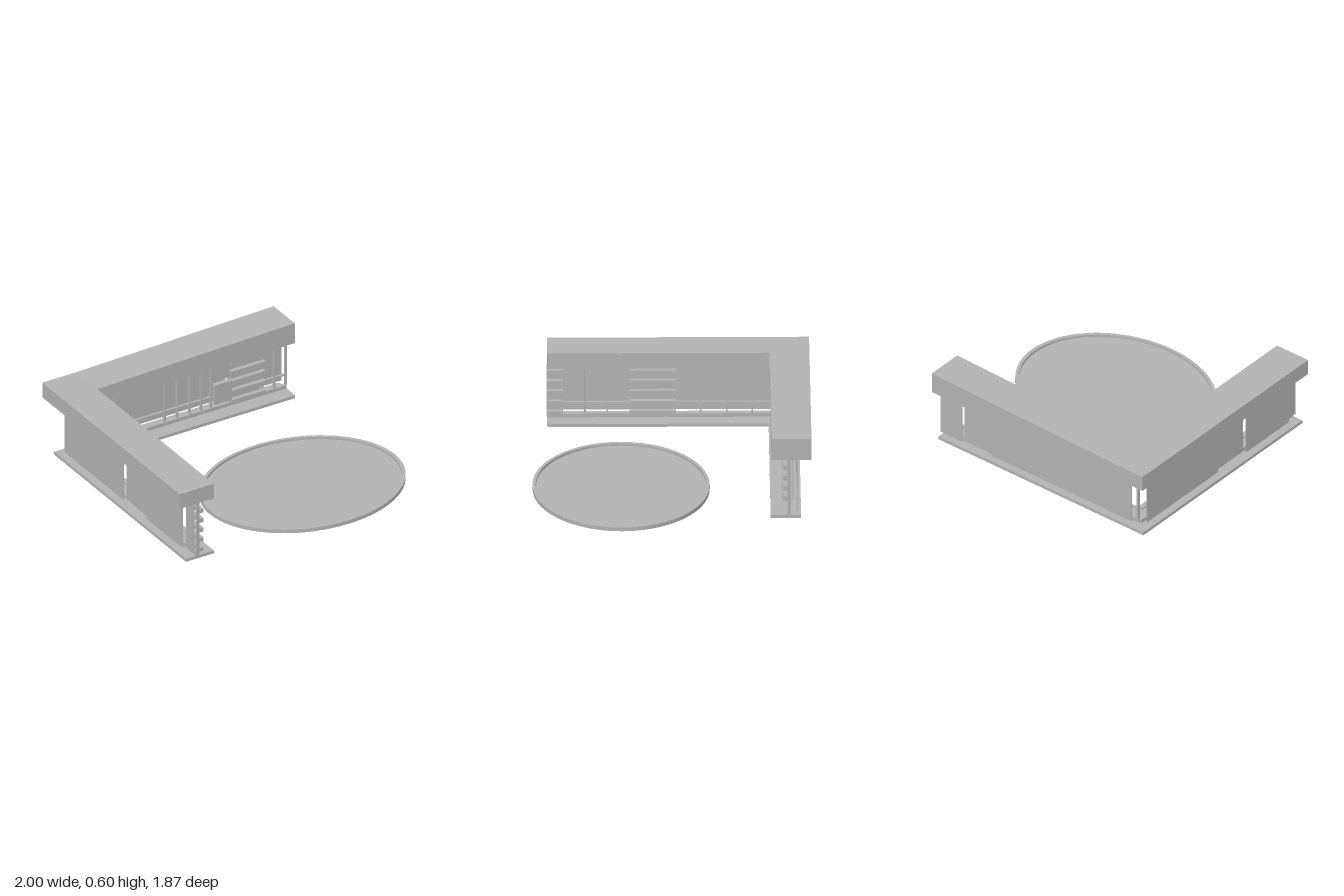
import * as THREE from 'three';
import { toCreasedNormals } from 'three/addons/utils/BufferGeometryUtils.js';

export function createModel() {
  const model = new THREE.Group();
  const grey = new THREE.MeshStandardMaterial({ color: 0xb2b2b2 });
  grey.name = 'plain grey';

  function add(parent, name, geometry) {
    const mesh = new THREE.Mesh(geometry, grey);
    mesh.name = name;
    parent.add(mesh);
    return mesh;
  }
  function group(name) {
    const g = new THREE.Group();
    g.name = name;
    model.add(g);
    return g;
  }
  // flat outline of [x, z] corners raised from y0 to y1
  function slab(points, y0, y1) {
    const shape = new THREE.Shape(points.map(([x, z]) => new THREE.Vector2(x, -z)));
    const g = new THREE.ExtrudeGeometry(shape, { depth: y1 - y0, bevelEnabled: false });
    return g.rotateX(-Math.PI / 2).translate(0, y0, 0);
  }

  // L-shaped floor
  add(model, 'floorSlab', slab([
    [-0.95, -0.87], [0.83, -0.87], [0.83, -0.665],
    [-0.73, -0.665], [-0.73, 0.825], [-0.95, 0.825]], 0.02, 0.042));

  // Roof: level side wing, gently rising back wing
  const roof = group('roof');
  add(roof, 'sideRoof', slab([[-1, -0.94], [-0.73, -0.94], [-0.73, 0.825], [-1, 0.825]], 0.446, 0.56));
  const rise = new THREE.Shape([[-0.73, 0.446], [0.83, 0.446], [0.83, 0.6], [-0.73, 0.56]]
    .map(([x, y]) => new THREE.Vector2(x, y)));
  add(roof, 'backRoof', new THREE.ExtrudeGeometry(rise, { depth: 0.27, bevelEnabled: false }).translate(0, 0, -0.94));

  // Wings: u runs along the wall, d is the position across it
  function makeWing(name, alongX) {
    const g = group(name);
    const box = (part, u0, u1, y0, y1, d0, d1) => {
      const [x0, x1, z0, z1] = alongX ? [u0, u1, d0, d1] : [d0, d1, u0, u1];
      add(g, part, new THREE.BoxGeometry(x1 - x0, y1 - y0, z1 - z0))
        .position.set((x0 + x1) / 2, (y0 + y1) / 2, (z0 + z1) / 2);
    };
    return box;
  }

  const wings = [
    {
      name: 'backWing', alongX: true, d: -0.8, start: -0.85, end: 0.83,
      posts: [-0.84, -0.677, -0.513, -0.128, -0.027, 0.072, 0.16, 0.238, 0.385, 0.643, 0.738, 0.83],
      rails: [[-0.84, 0.24], [0.643, 0.83]],
      shelves: [[0.378, 0.648]],
      panels: [[-0.83, 0.385], [0.643, 0.83]],
    },
    {
      name: 'sideWing', alongX: false, d: -0.87, start: -0.79, end: 0.825,
      posts: [-0.69, -0.555, -0.384, -0.21, -0.038, 0.265, 0.42, 0.57, 0.724, 0.825],
      rails: [[-0.78, -0.038], [0.265, 0.724]],
      shelves: [[-0.043, 0.27], [0.72, 0.83]],
      panels: [[-0.79, -0.035], [0.265, 0.724]],
    },
  ];
  for (const w of wings) {
    const box = makeWing(w.name, w.alongX);
    const d = w.d;
    box('sill', w.start, w.end, 0.042, 0.068, d, d + 0.025);
    box('headBeam', w.start, w.end, 0.428, 0.446, d, d + 0.025);
    for (const p of w.posts) box('windowPost', p - 0.005, p + 0.005, 0.068, 0.428, d, d + 0.022);
    for (const [a, b] of w.rails) box('windowRail', a, b, 0.143, 0.153, d + 0.004, d + 0.022);
    // outer wall sheets, with a recessed sheet behind each shelf bay
    for (const [a, b] of w.panels) box('wallPanel', a, b, 0.07, 0.43, d - 0.048, d - 0.043);
    for (const [a, b] of w.shelves) {
      box('shelfBackPanel', a + 0.005, b - 0.005, 0.07, 0.43, d - 0.02, d - 0.015);
      for (let i = 0; i < 5; i++) {
        const y = 0.084 + i * 0.0745;
        box('shelfBoard', a, b, y - 0.015, y + 0.015, d + 0.022, d + 0.055);
      }
    }
    // cabinet beside the back shelves
    if (w.alongX) {
      box('lowerCabinet', 0.245, 0.38, 0.105, 0.255, d + 0.022, d + 0.055);
      box('upperCabinetPanel', 0.245, 0.38, 0.265, 0.428, d + 0.008, d + 0.02);
    }
  }

  // Oval basin with a raised rim
  const profile = [[0, 0], [1, 0], [1, 0.027], [0.964, 0.027], [0.964, 0.01], [0, 0.01]]
    .map(([x, y]) => new THREE.Vector2(x, y));
  const basin = new THREE.LatheGeometry(profile, 72).scale(0.73, 1, 0.597);
  add(model, 'ovalBasin', toCreasedNormals(basin, 0.6)).position.set(0.27, 0, 0.337);

  return model;
}
